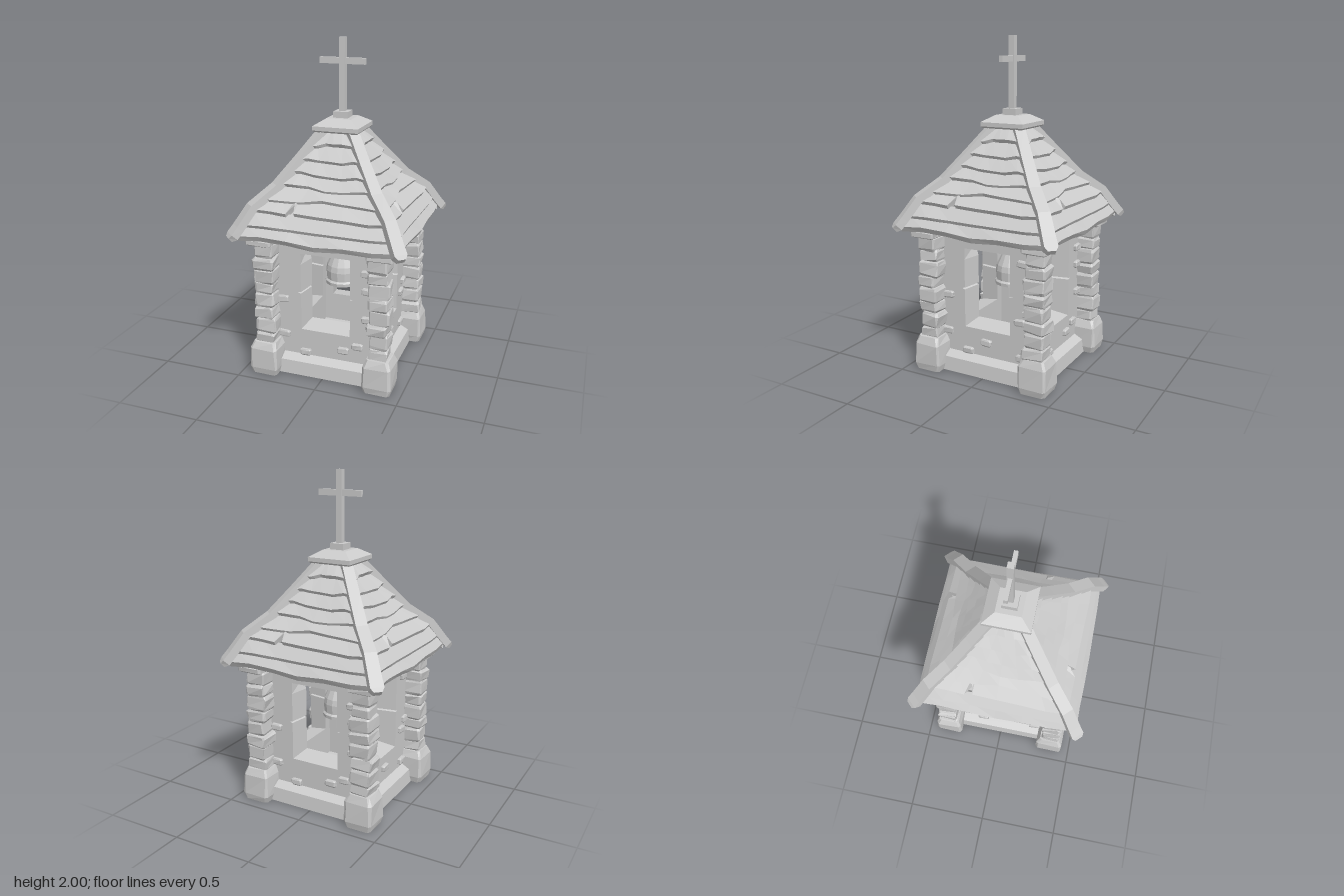
import * as THREE from 'three';

const mat = new THREE.MeshStandardMaterial({ color: 0xcccccc, flatShading: true, side: THREE.DoubleSide });

let seed = 7;
const rnd = (a) => {
  seed = (seed * 16807) % 2147483647;
  return (seed / 2147483647 * 2 - 1) * a;
};

function add(parent, name, geo, x = 0, y = 0, z = 0) {
  const m = new THREE.Mesh(geo, mat);
  m.name = name;
  m.position.set(x, y, z);
  parent.add(m);
  return m;
}
const box = (parent, name, w, h, d, x, y, z) => add(parent, name, new THREE.BoxGeometry(w, h, d), x, y, z);

// Closed skin over a row of loops, each running counter-clockwise about the direction of travel
function loft(loops) {
  const n = loops[0].length, idx = [], last = (loops.length - 1) * n;
  for (let i = 0; i < loops.length - 1; i++)
    for (let j = 0; j < n; j++) {
      const a = i * n + j, b = i * n + (j + 1) % n;
      idx.push(a, b, b + n, a, b + n, a + n);
    }
  for (let j = 1; j < n - 1; j++) idx.push(0, j + 1, j, last, last + j, last + j + 1);
  const g = new THREE.BufferGeometry();
  g.setAttribute('position', new THREE.Float32BufferAttribute(loops.flat(2), 3));
  g.setIndex(idx);
  const flat = g.toNonIndexed();
  flat.computeVertexNormals();
  return flat;
}

// Square loop of half width s with corners cut by c
const squareLoop = (s, y, c = 0, j = 0) => {
  const k = s - c;
  const pts = c ? [[k, s], [s, k], [s, -k], [k, -s], [-k, -s], [-s, -k], [-s, k], [-k, s]]
    : [[s, s], [s, -s], [-s, -s], [-s, s]];
  return pts.map(([x, z]) => [x + rnd(j), y + rnd(j * 0.6), z + rnd(j)]);
};

// Rough-hewn block with worn edges, standing on y = 0
const stone = (s, h, c, j) => loft([
  squareLoop(s - c, 0, c, j * 0.5), squareLoop(s, h * 0.18, c, j),
  squareLoop(s, h * 0.82, c, j), squareLoop(s - c, h, c, j * 0.5)]);

// Wall with a window whose jambs close in towards the inside, cracked at mid height
function wallGeometry() {
  const s = new THREE.Shape();
  s.moveTo(-0.31, 0.08); s.lineTo(0.31, 0.08); s.lineTo(0.31, 0.875); s.lineTo(-0.31, 0.875);
  const right = [[0.155, 0.28], [0.155, 0.514], [0.175, 0.521], [0.155, 0.525], [0.155, 0.7], [0.155, 0.77]];
  const left = right.map(([x, y]) => [-x, y]).reverse();
  s.holes.push(new THREE.Path([...right, ...left].map(([x, y]) => new THREE.Vector2(x, y))));
  const g = new THREE.ExtrudeGeometry(s, { depth: 0.125, bevelEnabled: false });
  const p = g.attributes.position;
  for (let i = 0; i < p.count; i++) {
    const x = p.getX(i), y = p.getY(i);
    if (p.getZ(i) > 0.01 || Math.abs(x) > 0.2 || y > 0.72 || y < 0.2) continue;
    p.setX(i, x * 0.86);
    if (y < 0.3) p.setY(i, 0.305);
  }
  g.computeVertexNormals();
  return g;
}

// Roof slope as [distance from centre, height], and its distance at a given height
const slope = [[0.485, 0.88], [0.425, 1.02], [0.29, 1.17], [0.1, 1.46]];
function roofR(y) {
  let i = 0;
  while (i < slope.length - 2 && y > slope[i + 1][1]) i++;
  const [[r0, y0], [r1, y1]] = [slope[i], slope[i + 1]];
  return r0 + (r1 - r0) * (y - y0) / (y1 - y0);
}

// One overlapping roof board with a wavy, slanting lower edge and, if asked, a split
function plankGeometry(y0, y1, split) {
  const ts = split ? [-1, -0.7, -0.47, -0.41, -0.36, 0, 0.35, 0.7, 1] : [-1, -0.7, -0.35, 0, 0.35, 0.7, 1];
  return loft(ts.map((t) => {
    const low = y0 + rnd(0.011) + (split && t === -0.41 ? 0.05 : 0);
    const out = 0.014 + rnd(0.004), up = y1 + 0.01;
    const rl = roofR(low), ru = roofR(up);
    return [
      [t * ru, up, ru - 0.004], [t * rl, low + 0.014, rl + out],
      [t * rl, low - 0.018, rl - 0.003], [t * ru, up - 0.03, ru - 0.022]];
  }));
}

// Hip beam following the roof corner, laid along +x and widening downwards
function hipGeometry() {
  const path = [[0.08, 1.48], [0.19, 1.32], [0.3, 1.165], [0.41, 1.06], [0.47, 0.95], [0.497, 0.905], [0.512, 0.888]]
    .map(([r, y]) => new THREE.Vector2(r * Math.SQRT2, y));
  return loft(path.map((p, i) => {
    const t = path[Math.min(i + 1, path.length - 1)].clone().sub(path[Math.max(i - 1, 0)]).normalize();
    const end = i === path.length - 1;
    const w = end ? 0.024 : 0.032 + i * 0.0015, h = end ? 0.016 : 0.024;
    return [[1, 1], [-1, 1], [-1, -1], [1, -1]].map(([n, b]) => [p.x - t.y * h * n, p.y + t.x * h * n, w * b]);
  }));
}

// Loose bricks showing on the walls: [x, y]
const bricksA = [[-0.23, 0.855], [0.035, 0.845], [0.26, 0.7], [0.265, 0.59], [0.265, 0.41], [-0.265, 0.47],
  [-0.265, 0.24], [0.205, 0.225], [0.115, 0.185], [-0.125, 0.135]];
const bricksB = [[-0.19, 0.855], [0.24, 0.73], [0.275, 0.435], [0.225, 0.375], [-0.265, 0.47],
  [-0.275, 0.24], [-0.005, 0.205], [0.235, 0.155], [-0.13, 0.135]];

export function createModel() {
  const model = new THREE.Group();
  model.name = 'bellTower';

  // Base with sloping top edge
  add(model, 'plinth', loft([squareLoop(0.375, 0), squareLoop(0.365, 0.085), squareLoop(0.3, 0.12)]));
  box(model, 'ceiling', 0.88, 0.02, 0.88, 0, 0.88, 0);

  const wallGeo = wallGeometry(), hipGeo = hipGeometry();
  const rows = [0.89, 0.955, 1.03, 1.1, 1.165, 1.235, 1.31, 1.385, 1.47];
  const plankGeos = rows.slice(0, -1).map((y, i) => plankGeometry(y, rows[i + 1], i === 2));

  for (let k = 0; k < 4; k++) {
    const side = new THREE.Group();
    side.name = 'side' + (k + 1);
    side.rotation.y = k * Math.PI / 2;
    model.add(side);

    // Wall and bricks
    add(side, 'wall', wallGeo, 0, 0, 0.187);
    for (const [x, y] of k % 2 ? bricksB : bricksA) {
      const brick = add(side, 'brick', stone(0.02, 0.04, 0.004, 0.002), x, y - 0.02, 0.312);
      brick.scale.x = 1.75;
      brick.rotation.z = rnd(0.06);
    }

    // Corner pier: foot, stacked stones and capital
    const pier = new THREE.Group();
    pier.name = 'cornerPier';
    pier.position.set(0.355, 0, 0.355);
    side.add(pier);
    add(pier, 'footStone', loft([
      squareLoop(0.08, 0, 0.016, 0.003), squareLoop(0.089, 0.04, 0.014, 0.003),
      squareLoop(0.086, 0.165, 0.014, 0.004), squareLoop(0.068, 0.21, 0.014, 0.004)]), 0.001, 0, 0.001);
    let y = 0.2;
    for (let i = 0; i < 8; i++) {
      const h = 0.08 + (i % 2 ? 0.012 : -0.012);
      const s = add(pier, 'pierStone', stone(0.061 + rnd(0.005), h + 0.006, 0.008, 0.006), rnd(0.006), y, rnd(0.006));
      s.rotation.set(rnd(0.1), rnd(0.08), rnd(0.1));
      y += h;
    }
    add(pier, 'capital', stone(0.079, 0.042, 0.01, 0.003), 0.014, 0.832, 0.014);

    // Roof boards and hip beam
    plankGeos.forEach((g) => add(side, 'roofBoard', g));
    add(side, 'hipBeam', hipGeo).rotation.y = Math.PI / 4;
  }

  // Roof cap and cross
  add(model, 'roofCap', loft([squareLoop(0.13, 1.465), squareLoop(0.14, 1.475), squareLoop(0.14, 1.5),
    squareLoop(0.075, 1.54)]));
  box(model, 'crossFoot', 0.088, 0.04, 0.088, 0, 1.557, 0);
  box(model, 'crossPost', 0.036, 0.43, 0.036, 0, 1.785, 0);
  box(model, 'crossBar', 0.28, 0.036, 0.024, 0, 1.867, 0);

  // Bell and hanger
  const profile = [[0.095, 0.5], [0.108, 0.493], [0.11, 0.513], [0.1, 0.524], [0.104, 0.58], [0.098, 0.615],
    [0.072, 0.67], [0.062, 0.69], [0.061, 0.715], [0.034, 0.755], [0.03, 0.768], [0, 0.77]]
    .map(([r, y]) => new THREE.Vector2(r, y));
  add(model, 'bell', new THREE.LatheGeometry(profile, 14), 0, 0, 0);
  add(model, 'bellHanger', new THREE.CylinderGeometry(0.015, 0.015, 0.12, 8), 0, 0.82, 0);

  return model;
}
